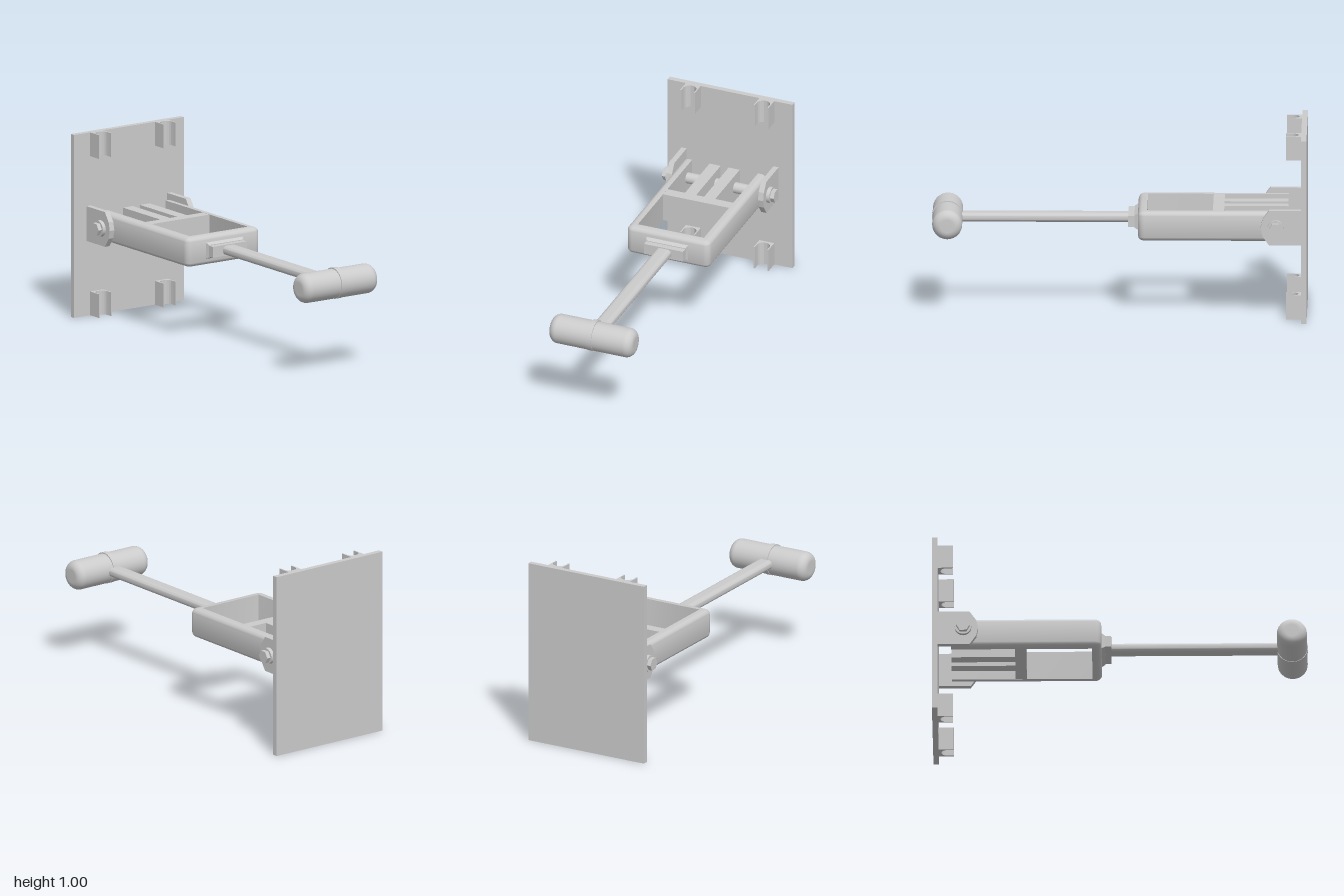
import * as THREE from 'three';
import { toCreasedNormals } from 'three/addons/utils/BufferGeometryUtils.js';

const material = new THREE.MeshStandardMaterial({ color: 0xcccccc });
const AXIS_Y = 0.5;

function createMesh(name, geometry, x = 0, y = 0, z = 0) {
  const mesh = new THREE.Mesh(geometry, material);
  mesh.name = name;
  mesh.position.set(x, y, z);
  return mesh;
}

// Box given by its minimum and maximum corners
function box(name, x0, x1, y0, y1, z0, z1) {
  return createMesh(name, new THREE.BoxGeometry(x1 - x0, y1 - y0, z1 - z0),
    (x0 + x1) / 2, (y0 + y1) / 2, (z0 + z1) / 2);
}

// Cylinder lying along x
function rodX(name, radius, length, sides, x, y, z) {
  const g = new THREE.CylinderGeometry(radius, radius, length, sides).rotateZ(Math.PI / 2);
  return createMesh(name, sides < 10 ? toCreasedNormals(g, 0.5) : g, x, y, z);
}

// U-shaped frame: a section with rounded outer edges swept around a U path
function frameGeometry() {
  const wall = 0.05, low = 0.42, high = 0.58, fillet = 0.03, steps = 6;
  const section = [];
  for (let i = 0; i <= steps; i++) {
    const a = (i / steps) * Math.PI / 2;
    section.push([fillet * (1 - Math.sin(a)), low + fillet * (1 - Math.cos(a))]);
  }
  for (let i = 0; i <= steps; i++) {
    const a = (i / steps) * Math.PI / 2;
    section.push([fillet * (1 - Math.cos(a)), high - fillet * (1 - Math.sin(a))]);
  }
  section.push([wall, high], [wall, low]);

  // U outline, moved inward by the given inset
  const path = (inset) => {
    const x = 0.24 - inset, z = -0.1 - inset, r = Math.max(0.035 - inset, 0.001);
    const points = [[x, -0.9]];
    for (const side of [1, -1]) {
      for (let i = 0; i <= steps; i++) {
        const t = side > 0 ? i / steps : 1 - i / steps;
        const a = t * Math.PI / 2;
        points.push([side * (x - r + r * Math.cos(a)), z - r + r * Math.sin(a)]);
      }
    }
    points.push([-x, -0.9]);
    return points;
  };

  const positions = [], index = [], n = section.length;
  const rails = section.map(([inset]) => path(inset));
  const m = rails[0].length;
  for (let u = 0; u < m; u++) {
    for (let v = 0; v < n; v++) positions.push(rails[v][u][0], section[v][1], rails[v][u][1]);
  }
  for (let u = 0; u < m - 1; u++) {
    for (let v = 0; v < n; v++) {
      const a = u * n + v, b = u * n + (v + 1) % n;
      index.push(a, b, a + n, b, b + n, a + n);
    }
  }
  // Flat ends of the arms
  const last = (m - 1) * n;
  for (let v = 1; v < n - 1; v++) {
    index.push(0, v + 1, v, last, last + v, last + v + 1);
  }
  const g = new THREE.BufferGeometry();
  g.setAttribute('position', new THREE.Float32BufferAttribute(positions, 3));
  g.setIndex(index);
  return toCreasedNormals(g, 0.6);
}

// Block with a U-shaped channel, standing on y = 0
function clipGeometry(height) {
  const s = new THREE.Shape();
  s.moveTo(-0.043, -0.972);
  s.lineTo(0.043, -0.972);
  s.lineTo(0.043, -0.89);
  s.lineTo(0.036, -0.89);
  s.lineTo(0.036, -0.92);
  s.absarc(0, -0.92, 0.036, 0, -Math.PI, true);
  s.lineTo(-0.036, -0.89);
  s.lineTo(-0.043, -0.89);
  s.closePath();
  const g = new THREE.ExtrudeGeometry(s, { depth: height, bevelEnabled: false, curveSegments: 20 });
  g.rotateX(Math.PI / 2).translate(0, height, 0);
  return toCreasedNormals(g, 0.5);
}

// Pivot lug with a chamfered nose, centred on x
function lugGeometry() {
  const s = new THREE.Shape([
    [-0.972, 0.41], [-0.8, 0.41], [-0.765, 0.46], [-0.755, 0.505], [-0.765, 0.55], [-0.8, 0.6], [-0.972, 0.6],
  ].map(([z, y]) => new THREE.Vector2(z, y)));
  return new THREE.ExtrudeGeometry(s, { depth: 0.03, bevelEnabled: false })
    .translate(0, 0, -0.015).rotateY(-Math.PI / 2);
}

// Flat bar with rounded sides
function shaftGeometry(length) {
  const s = new THREE.Shape();
  s.absarc(0.02, 0, 0.025, -Math.PI / 2, Math.PI / 2, false);
  s.absarc(-0.02, 0, 0.025, Math.PI / 2, Math.PI * 1.5, false);
  const g = new THREE.ExtrudeGeometry(s, { depth: length, bevelEnabled: false, curveSegments: 12 });
  return toCreasedNormals(g, 0.5);
}

// Grip cylinder along x with rounded ends
function gripGeometry() {
  const half = 0.24, radius = 0.08, r = 0.045, profile = [new THREE.Vector2(0, -half)];
  for (const side of [-1, 1]) {
    for (let i = 0; i <= 8; i++) {
      const a = (side < 0 ? i / 8 : 1 - i / 8) * Math.PI / 2;
      profile.push(new THREE.Vector2(radius - r + r * Math.sin(a), side * (half - r + r * Math.cos(a))));
    }
  }
  profile.push(new THREE.Vector2(0, half));
  return new THREE.LatheGeometry(profile, 40).rotateZ(Math.PI / 2);
}

export function createModel() {
  const model = new THREE.Group();
  model.name = 'hingedHandle';

  // Wall plate with four channel clips
  model.add(box('mountingPlate', -0.36, 0.36, 0, 1, -1, -0.97));
  const clip = clipGeometry(0.13);
  for (const x of [-0.212, 0.212]) {
    for (const y of [0, 0.87]) model.add(createMesh('channelClip', clip, x, y, 0));
  }

  // Pivot: lugs, pin, washers and hexagonal heads
  const lug = lugGeometry(), pinY = 0.505, pinZ = -0.835;
  model.add(rodX('pivotPin', 0.03, 0.56, 28, 0, pinY, pinZ));
  for (const side of [-1, 1]) {
    model.add(createMesh('pivotLug', lug, side * 0.265, 0, 0));
    model.add(rodX('washer', 0.044, 0.02, 32, side * 0.29, pinY, pinZ));
    model.add(rodX('hexHead', 0.036, 0.024, 6, side * 0.31, pinY, pinZ));
  }

  // Swinging frame with crossbar and two prongs
  model.add(createMesh('frame', frameGeometry()));
  model.add(box('crossbar', -0.192, 0.192, 0.421, 0.579, -0.56, -0.5));
  for (const x of [-0.057, 0.053]) {
    model.add(box('prong', x - 0.032, x + 0.032, 0.421, 0.579, -0.9, -0.559));
  }

  // Stepped collar: a tapered base and a smaller block
  const taper = new THREE.BoxGeometry(0.24, 0.09, 0.02);
  const p = taper.attributes.position;
  for (let i = 0; i < p.count; i++) {
    if (p.getZ(i) > 0) p.setXY(i, p.getX(i) * 0.94, p.getY(i) * 0.75);
  }
  taper.computeVertexNormals();
  model.add(createMesh('collarBase', taper, 0, AXIS_Y, -0.091));
  model.add(box('collar', -0.112, 0.112, AXIS_Y - 0.03, AXIS_Y + 0.03, -0.1, -0.048));

  // Shaft and cross grip
  model.add(createMesh('shaft', shaftGeometry(0.92), 0, AXIS_Y, -0.06));
  model.add(createMesh('grip', gripGeometry(), 0, AXIS_Y, 0.915));
  model.add(rodX('gripBand', 0.084, 0.03, 40, 0, AXIS_Y + 0.002, 0.915));

  return model;
}
